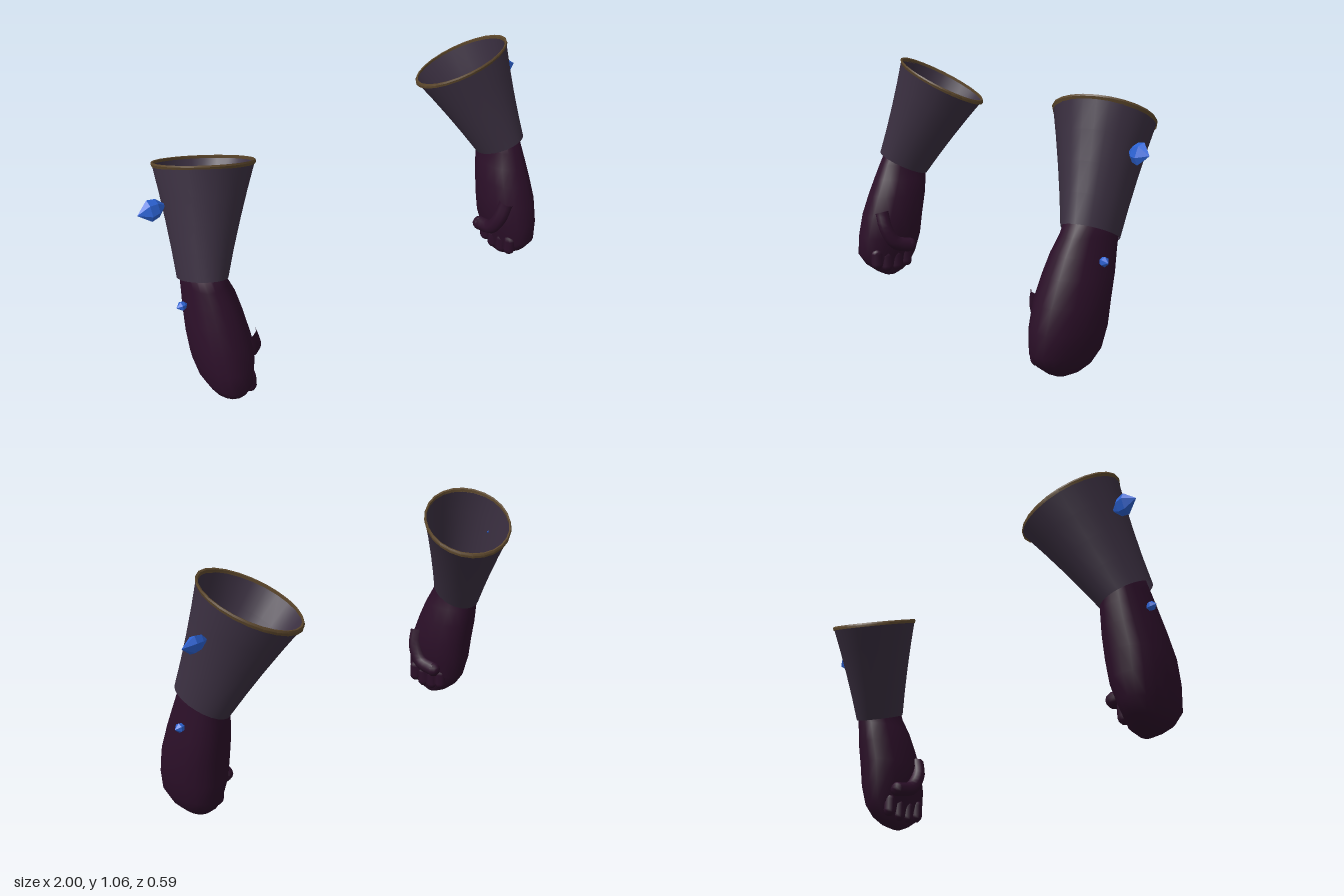
import * as THREE from 'three';
import { toCreasedNormals } from 'three/addons/utils/BufferGeometryUtils.js';

const mat = (name, color, side = THREE.FrontSide) =>
  Object.assign(new THREE.MeshStandardMaterial({ color, side }), { name });

// Skin a stack of oval rings, bottom to top. Each ring: centre, half widths, and slopes in x and z.
function loft(rings, sides, power = 1) {
  const pos = [], index = [];
  const bulge = v => Math.sign(v) * Math.abs(v) ** power;
  for (const { x, y, z, rx, rz, sx = 0, sz = 0 } of rings) {
    for (let j = 0; j < sides; j++) {
      const a = (j / sides) * Math.PI * 2;
      const dx = rx * bulge(Math.cos(a)), dz = rz * bulge(Math.sin(a));
      pos.push(x + dx, y + sx * dx + sz * dz, z + dz);
    }
  }
  for (let i = 0; i < rings.length - 1; i++) {
    for (let j = 0; j < sides; j++) {
      const a = i * sides + j, b = i * sides + (j + 1) % sides;
      index.push(a, a + sides, b, b, a + sides, b + sides);
    }
  }
  const g = new THREE.BufferGeometry();
  g.setAttribute('position', new THREE.Float32BufferAttribute(pos, 3));
  g.setIndex(index);
  g.computeVertexNormals();
  return g;
}

// Mirror a geometry across x = 0 and restore its winding.
function mirrored(geometry) {
  const g = geometry.index ? geometry.toNonIndexed() : geometry.clone();
  g.scale(-1, 1, 1);
  for (const attr of Object.values(g.attributes)) {
    const n = attr.itemSize, arr = attr.array;
    for (let t = 0; t < attr.count; t += 3) {
      for (let k = 0; k < n; k++) {
        const p = (t + 1) * n + k, q = (t + 2) * n + k;
        [arr[p], arr[q]] = [arr[q], arr[p]];
      }
    }
  }
  return g;
}

// Six-sided faceted crystal pointing along +x.
function crystal(x, y, z, length, height, width, tilt) {
  const profile = [[0, -0.5], [0.42, -0.2], [0.5, 0.08], [0, 0.5]].map(p => new THREE.Vector2(...p));
  const g = new THREE.LatheGeometry(profile, 6).rotateY(Math.PI / 6).rotateZ(-Math.PI / 2);
  g.scale(length, height, width).rotateX(tilt).translate(x, y, z);
  return toCreasedNormals(g, 0.1);
}

// Cuff ring at t = 0 (wrist) to 1 (opening); grow offsets the radius, lift moves it up.
function cuffRing(t, grow = 0, lift = 0) {
  const mix = (a, b) => a + (b - a) * t;
  const r = grow - 0.02 * t * (1 - t);
  return {
    x: mix(0.815, 0.68), y: mix(0.55, 0.957) + lift, z: mix(0.048, -0.1),
    rx: mix(0.095, 0.201) + r, rz: mix(0.117, 0.193) + r, sx: 0.3, sz: 0.4,
  };
}

export function createModel() {
  const cuffMat = mat('dusky violet leather', 0x3a2f40, THREE.DoubleSide);
  const gloveMat = mat('dark plum cloth', 0x2b0f28);
  const rimMat = mat('old brass', 0x5c472c, THREE.DoubleSide);
  const gemMat = mat('blue crystal', 0x2c62d2);
  const parts = [];
  const add = (name, geometry, material) => parts.push({ name, geometry, material });

  // Flared open cuff with a thin brass lip
  add('cuff', loft([0, 0.25, 0.5, 0.75, 1].map(t => cuffRing(t)), 24), cuffMat);
  const lip = loft([cuffRing(1, 0.001, -0.012), cuffRing(1, 0.004, 0), cuffRing(1, 0.001, 0.008),
    cuffRing(1, -0.006, 0.006), cuffRing(1, -0.006, -0.006)], 24);
  add('cuffRim', toCreasedNormals(lip, 0.6), rimMat);

  // Fist, back of hand and wrist: y, x range, z range
  const sections = [
    [0, 0.78, 0.78, 0.145, 0.145],
    [0.002, 0.76, 0.805, 0.12, 0.175],
    [0.022, 0.742, 0.842, 0.075, 0.215],
    [0.055, 0.732, 0.874, 0.035, 0.26],
    [0.11, 0.722, 0.899, 0.0, 0.296],
    [0.2, 0.698, 0.917, -0.022, 0.29],
    [0.3, 0.69, 0.922, -0.032, 0.268],
    [0.4, 0.7, 0.912, -0.05, 0.233],
    [0.48, 0.712, 0.902, -0.058, 0.2],
    [0.55, 0.735, 0.893, -0.065, 0.168],
    [0.66, 0.73, 0.88, -0.078, 0.12],
    [0.66, 0.805, 0.805, 0.02, 0.02],
  ];
  const handRings = sections.map(([y, x0, x1, z0, z1]) => ({
    x: (x0 + x1) / 2, y, z: (z0 + z1) / 2, rx: (x1 - x0) / 2, rz: (z1 - z0) / 2,
  }));
  add('hand', loft(handRings, 18, 0.88), gloveMat);

  // Four fingers curled against the palm
  [0.075, 0.127, 0.179, 0.231].forEach((z, i) => {
    const g = new THREE.CapsuleGeometry(0.029, 0.05, 3, 8);
    g.translate(0.747, i === 0 || i === 3 ? 0.095 : 0.08, z);
    add('finger' + (i + 1), g, gloveMat);
  });

  // Thumb folded across the fingers, with a round tip
  const path = [[0.725, 0.33, 0.21], [0.7, 0.25, 0.2], [0.69, 0.18, 0.155], [0.692, 0.16, 0.08]]
    .map(p => new THREE.Vector3(...p));
  add('thumb', new THREE.TubeGeometry(new THREE.CatmullRomCurve3(path), 10, 0.034, 8), gloveMat);
  add('thumbTip', new THREE.SphereGeometry(0.034, 8, 6).translate(0.692, 0.16, 0.08), gloveMat);

  // Crystals set in the outer side of cuff and wrist
  add('cuffCrystal', crystal(0.938, 0.855, -0.073, 0.124, 0.088, 0.05, -0.35), gemMat);
  add('wristCrystal', crystal(0.925, 0.466, 0.06, 0.05, 0.04, 0.038, 0), gemMat);

  // Left gauntlet and its mirror image
  const model = new THREE.Group();
  model.name = 'gauntlets';
  for (const side of ['left', 'right']) {
    const gauntlet = new THREE.Group();
    gauntlet.name = side + 'Gauntlet';
    for (const { name, geometry, material } of parts) {
      const mesh = new THREE.Mesh(side === 'left' ? geometry : mirrored(geometry), material);
      if (side === 'right') {
        // scaling rewrites normals along with positions
        mesh.geometry.normalizeNormals();
      }
      mesh.name = name;
      gauntlet.add(mesh);
    }
    model.add(gauntlet);
  }
  return model;
}
